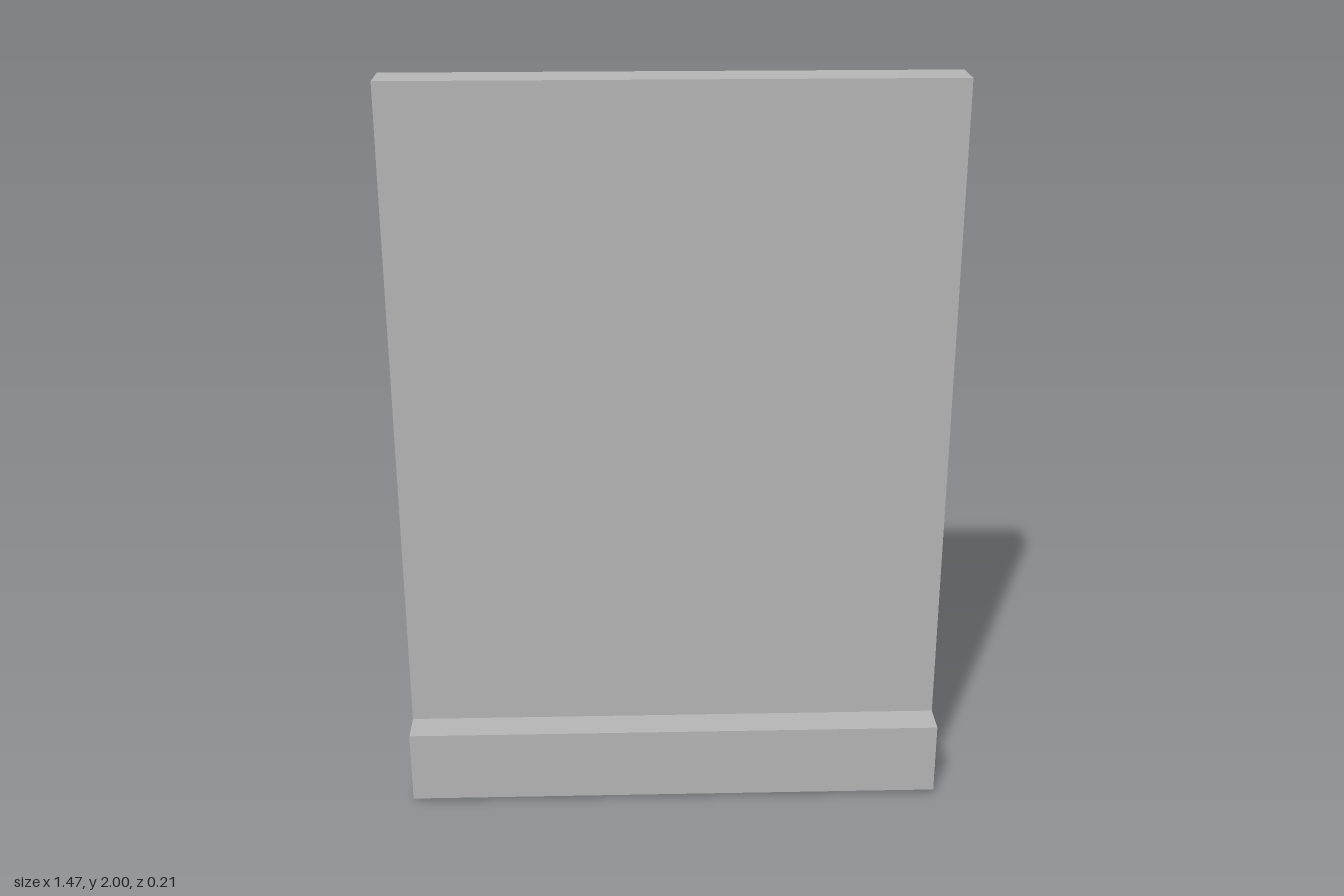
import * as THREE from 'three';

const WIDTH = 1.47;

export function createModel() {
  const group = new THREE.Group();
  group.name = 'panelWithLedge';
  const grey = new THREE.MeshStandardMaterial({ color: 0xb4b4b4 });
  grey.name = 'plain grey';

  // Full-width slab spanning the given heights and depths
  const addSlab = (name, y0, y1, z0, z1) => {
    const mesh = new THREE.Mesh(new THREE.BoxGeometry(WIDTH, y1 - y0, z1 - z0), grey);
    mesh.position.set(0, (y0 + y1) / 2, (z0 + z1) / 2);
    mesh.name = name;
    group.add(mesh);
  };

  // Tall upright panel
  addSlab('panel', 0, 2, -0.105, 0.013);
  // Ledge along the foot of the front, just clear of the ground
  addSlab('ledge', 0.012, 0.215, 0.013, 0.105);

  return group;
}
